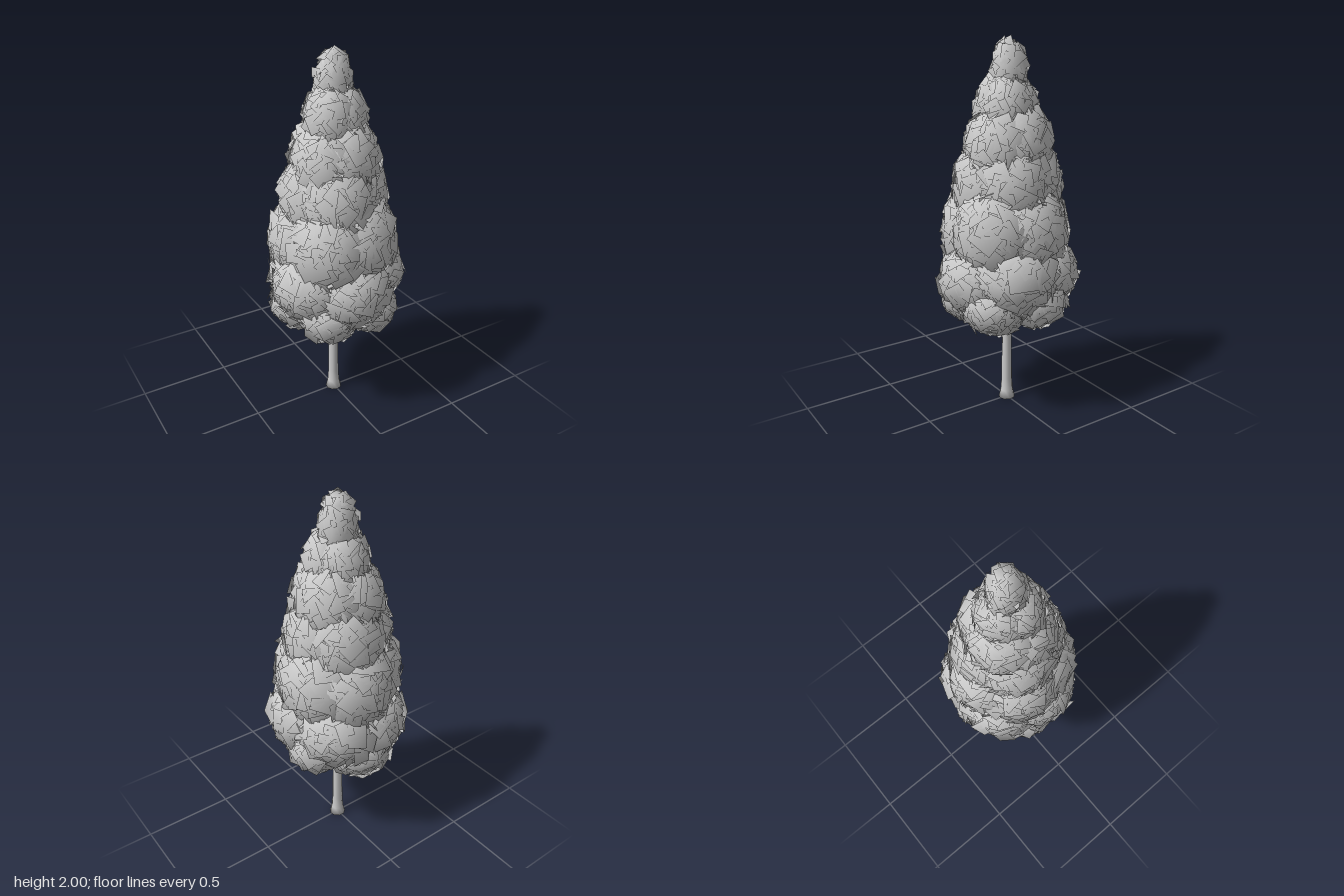
import * as THREE from 'three';
import { mergeGeometries } from 'three/addons/utils/BufferGeometryUtils.js';

// Small seeded generator, values 0..1
function seeded(seed) {
  return () => {
    seed = (seed * 1664525 + 1013904223) % 4294967296;
    return seed / 4294967296;
  };
}

// Tiers of leaf clumps: height, clump count, distance from trunk, radius, half height, turn
const TIERS = [
  [0.635, 5, 0.185, 0.165, 0.145, 0.94],
  [0.77, 5, 0.145, 0.225, 0.21, 0.35],
  [1.0, 5, 0.115, 0.225, 0.27, 1.0],
  [1.23, 4, 0.075, 0.205, 0.27, 0.3],
  [1.43, 4, 0.055, 0.178, 0.23, 1.1],
  [1.64, 3, 0.035, 0.13, 0.19, 0.5],
  [1.81, 1, 0.012, 0.092, 0.172, 5.2],
];

function makeClumps(rand) {
  const clumps = [];
  for (const [y, count, offset, r, h, turn] of TIERS) {
    for (let i = 0; i < count; i++) {
      const a = turn + (i / count) * Math.PI * 2;
      const lift = count > 1 ? (rand() - 0.5) * 0.04 : 0;
      clumps.push({
        centre: new THREE.Vector3(Math.cos(a) * offset, y + lift, Math.sin(a) * offset),
        radii: new THREE.Vector3(r, h, r),
      });
    }
  }
  return clumps;
}

// Flat leaf cards laid over an ellipsoid, shaded with its outward normals
function clumpGeometry(clump, all, rand) {
  const { centre, radii } = clump;
  const count = Math.round(40 + 2600 * radii.x * radii.y);
  const cards = [];
  const forward = new THREE.Vector3(0, 0, 1);
  for (let i = 0; i < count; i++) {
    const v = 1 - (2 * (i + 0.5)) / count;
    const ring = Math.sqrt(1 - v * v);
    const a = i * 2.39996;
    const dir = new THREE.Vector3(Math.cos(a) * ring, v, Math.sin(a) * ring);
    const pos = dir.clone().multiply(radii).multiplyScalar(0.95 + rand() * 0.07).add(centre);

    // Skip cards buried deep in a neighbouring clump
    const buried = all.some((o) => o !== clump
      && pos.clone().sub(o.centre).divide(o.radii).length() < 0.82);
    if (buried) continue;

    const size = 0.035 + radii.x * 0.37;
    const card = new THREE.PlaneGeometry(size * (0.85 + rand() * 0.5), size * (0.7 + rand() * 0.4));
    card.rotateZ(rand() * Math.PI * 2);
    card.rotateX((rand() - 0.5) * 0.5);
    card.rotateY((rand() - 0.5) * 0.5);
    const normal = dir.clone().divide(radii).normalize();
    card.applyQuaternion(new THREE.Quaternion().setFromUnitVectors(forward, normal));
    card.translate(pos.x, pos.y, pos.z);

    const p = card.attributes.position;
    const n = new THREE.Vector3();
    for (let k = 0; k < p.count; k++) {
      n.fromBufferAttribute(p, k).sub(centre).divide(radii).divide(radii).normalize();
      card.attributes.normal.setXYZ(k, n.x, n.y, n.z);
    }
    cards.push(card);
  }
  return mergeGeometries(cards);
}

export function createModel() {
  const tree = new THREE.Group();
  tree.name = 'tree';
  const rand = seeded(11);
  const bark = new THREE.MeshStandardMaterial({ color: 0xcccccc });
  const leaf = new THREE.MeshStandardMaterial({ color: 0xcccccc, side: THREE.DoubleSide });

  // Slim trunk with a flared foot
  const profile = [[0, 0], [0.046, 0], [0.035, 0.045], [0.03, 0.12], [0.026, 0.5], [0.02, 1], [0.01, 1.6], [0, 1.62]];
  const trunk = new THREE.Mesh(
    new THREE.LatheGeometry(profile.map(([x, y]) => new THREE.Vector2(x, y)), 9), bark);
  trunk.name = 'trunk';
  tree.add(trunk);

  // Foliage
  const foliage = new THREE.Group();
  foliage.name = 'foliage';
  const clumps = makeClumps(rand);
  clumps.forEach((clump, i) => {
    const mesh = new THREE.Mesh(clumpGeometry(clump, clumps, rand), leaf);
    mesh.name = `leafClump${i + 1}`;
    foliage.add(mesh);
  });
  tree.add(foliage);
  return tree;
}
